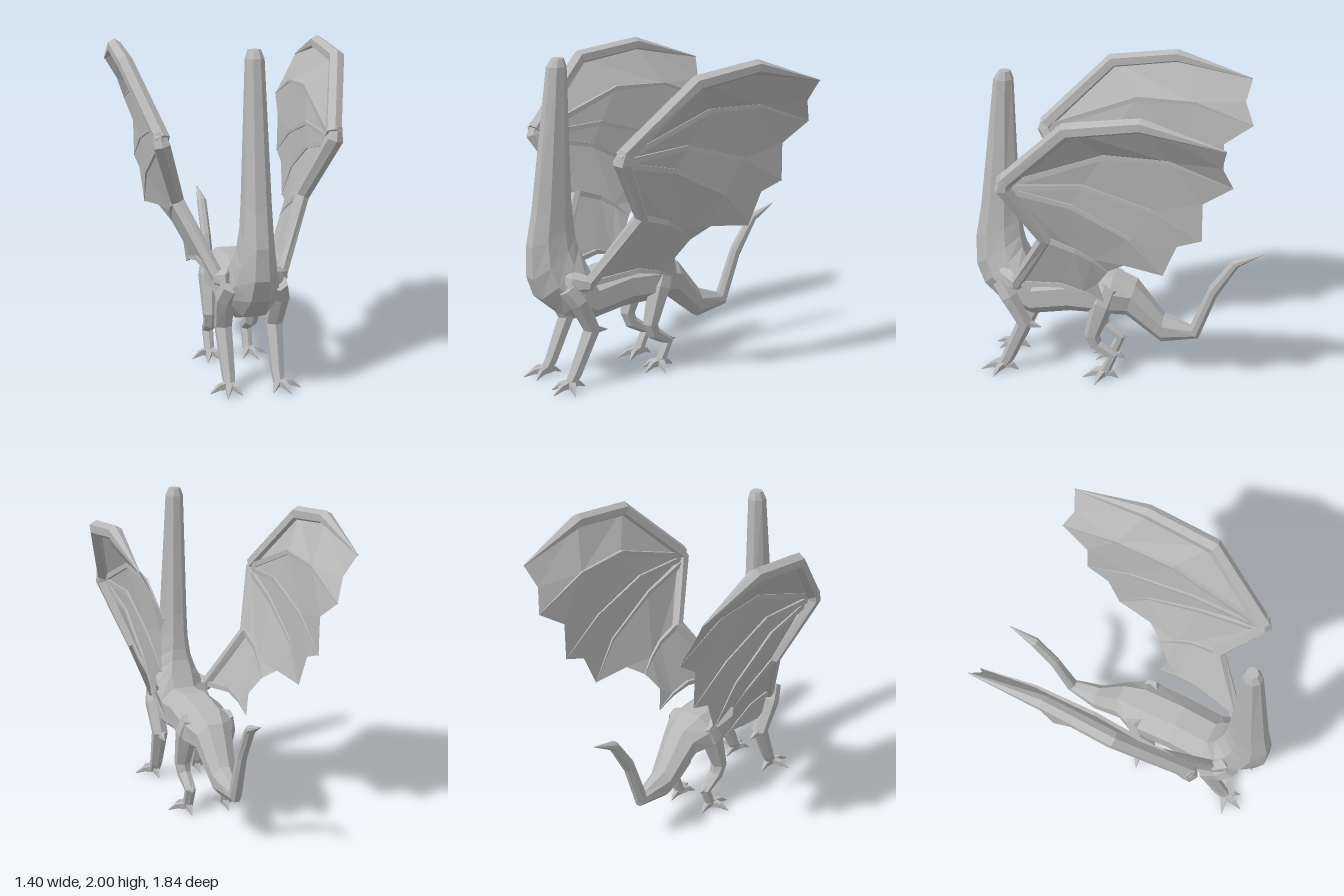
import * as THREE from 'three';

const V = (p) => new THREE.Vector3(...p);

// Skin a list of equal-sized rings and close both ends
function loft(rings) {
  const n = rings[0].length, pos = [], idx = [];
  rings.forEach((r) => r.forEach((p) => pos.push(p.x, p.y, p.z)));
  for (let k = 0; k < rings.length - 1; k++) {
    for (let i = 0; i < n; i++) {
      const a = k * n + i, b = k * n + (i + 1) % n;
      idx.push(a, b, b + n, a, b + n, a + n);
    }
  }
  const last = (rings.length - 1) * n;
  for (let i = 1; i < n - 1; i++) idx.push(0, i + 1, i, last, last + i, last + i + 1);
  return toGeometry(pos, idx);
}

function toGeometry(pos, idx) {
  const g = new THREE.BufferGeometry();
  g.setAttribute('position', new THREE.Float32BufferAttribute(pos, 3));
  g.setIndex(idx);
  const flat = g.toNonIndexed();
  flat.computeVertexNormals();
  return flat;
}

// Faceted tapering limb along a path
function limb(points, radii, sides = 6) {
  const p = points.map(V);
  const rings = p.map((c, k) => {
    const t = new THREE.Vector3();
    if (k > 0) t.add(c.clone().sub(p[k - 1]).normalize());
    if (k < p.length - 1) t.add(p[k + 1].clone().sub(c).normalize());
    t.normalize();
    const ref = Math.abs(t.x) > 0.9 ? new THREE.Vector3(0, 0, 1) : new THREE.Vector3(1, 0, 0);
    const u = ref.addScaledVector(t, -ref.dot(t)).normalize();
    const v = t.clone().cross(u);
    return Array.from({ length: sides }, (_, i) => {
      const a = ((i + 0.5) / sides) * Math.PI * 2;
      return c.clone().addScaledVector(u, radii[k] * Math.cos(a)).addScaledVector(v, radii[k] * Math.sin(a));
    });
  });
  return loft(rings);
}

// Octagonal body: each section is [backZ, backY, bellyZ, bellyY, halfWidth]
function bodyGeometry() {
  const sections = [
    [-0.915, 0.917, -0.915, 0.913, 0.003],
    [-0.725, 0.86, -0.765, 0.82, 0.03],
    [-0.58, 0.655, -0.635, 0.6, 0.03],
    [-0.47, 0.37, -0.525, 0.29, 0.037],
    [-0.3, 0.43, -0.285, 0.25, 0.075],
    [-0.12, 0.65, -0.06, 0.43, 0.115],
    [0.02, 0.7, 0.03, 0.44, 0.17],
    [0.3, 0.72, 0.3, 0.435, 0.165],
    [0.53, 0.68, 0.55, 0.39, 0.165],
    [0.58, 0.78, 0.73, 0.45, 0.165],
    [0.61, 0.85, 0.87, 0.57, 0.13],
    [0.625, 0.92, 0.92, 0.7, 0.105],
    [0.635, 1.02, 0.92, 0.89, 0.088],
    [0.645, 1.16, 0.88, 1.1, 0.08],
    [0.655, 1.95, 0.77, 1.95, 0.052],
    [0.67, 2.0, 0.74, 2.0, 0.035],
  ];
  const s = 1 / Math.cos(Math.PI / 8);
  return loft(sections.map(([z1, y1, z2, y2, w]) =>
    Array.from({ length: 8 }, (_, i) => {
      const a = ((i + 0.5) / 8) * Math.PI * 2, c = Math.cos(a) * s, d = Math.sin(a) * s;
      return new THREE.Vector3(w * c, (y1 + y2) / 2 + d * (y1 - y2) / 2, (z1 + z2) / 2 + d * (z1 - z2) / 2);
    })));
}

// Wing fingers, leading edge first: root, two bends, tip
const FINGERS = [
  [[0.51, 1.48, 0.59], [0.655, 1.89, 0.17], [0.655, 1.95, -0.255], [0.65, 1.83, -0.74]],
  [[0.5, 1.47, 0.57], [0.515, 1.695, -0.02], [0.515, 1.69, -0.39], [0.52, 1.56, -0.77]],
  [[0.5, 1.45, 0.57], [0.485, 1.485, 0.12], [0.49, 1.37, -0.285], [0.485, 1.2, -0.595]],
  [[0.49, 1.43, 0.57], [0.475, 1.35, 0.19], [0.475, 1.165, -0.17], [0.46, 0.94, -0.36]],
  [[0.38, 1.08, 0.37], [0.385, 1.02, 0.19], [0.37, 0.96, 0.09], [0.35, 0.88, -0.005]],
  [[0.2, 0.67, 0.58], [0.25, 0.71, 0.31], [0.265, 0.68, 0.17], [0.265, 0.625, 0.035]],
];
// Notch in the trailing edge between each pair of fingers
const NOTCHES = [[0.575, 1.7, -0.71], [0.49, 1.435, -0.59], [0.475, 1.145, -0.445], [0.41, 0.96, -0.115], [0.29, 0.76, 0.07]];

function membraneGeometry(mirror) {
  const pos = [], idx = [];
  const tri = (...pts) => pts.forEach((p) => {
    idx.push(pos.length / 3);
    pos.push(...mirror(p));
  });
  NOTCHES.forEach((n, k) => {
    const a = FINGERS[k], b = FINGERS[k + 1];
    for (let i = 0; i < 2; i++) {
      tri(a[i], a[i + 1], b[i + 1]);
      tri(a[i], b[i + 1], b[i]);
    }
    tri(a[2], a[3], n);
    tri(a[2], n, b[2]);
    tri(b[2], n, b[3]);
  });
  return toGeometry(pos, idx);
}

export function createModel() {
  const model = new THREE.Group();
  model.name = 'wingedBeast';
  const hide = new THREE.MeshStandardMaterial({ color: 0xb8b8b8, flatShading: true, side: THREE.DoubleSide });
  hide.name = 'greyHide';
  const add = (parent, name, geometry) => {
    const m = new THREE.Mesh(geometry, hide);
    m.name = name;
    parent.add(m);
  };

  add(model, 'bodyNeckAndTail', bodyGeometry());

  for (const side of [1, -1]) {
    const label = side > 0 ? 'left' : 'right';
    const mirror = ([x, y, z]) => [x * side, y, z];
    const part = (parent, name, pts, radii, sides) => add(parent, name, limb(pts.map(mirror), radii, sides));
    const group = (name) => {
      const g = new THREE.Group();
      g.name = label + name;
      model.add(g);
      return g;
    };

    // Wing: arm, fingers and membrane
    const wing = group('Wing');
    part(wing, 'wingShoulder', [[0.04, 0.68, 0.7], [0.14, 0.66, 0.68], [0.2, 0.66, 0.61]], [0.1, 0.07, 0.04]);
    part(wing, 'wingArm', [[0.18, 0.64, 0.63], [0.385, 1.08, 0.375], [0.515, 1.45, 0.59], [0.53, 1.52, 0.57]],
      [0.04, 0.045, 0.055, 0.04]);
    FINGERS.forEach((f, k) =>
      part(wing, 'wingFinger', f, k === 0 ? [0.05, 0.05, 0.045, 0.004] : [0.025, 0.02, 0.014, 0.003], k === 0 ? 6 : 4));
    add(wing, 'wingMembrane', membraneGeometry(mirror));

    // Legs
    const fore = group('Foreleg');
    part(fore, 'foreLimb', [[0.14, 0.64, 0.74], [0.165, 0.55, 0.68], [0.155, 0.36, 0.585], [0.15, 0.1, 0.7], [0.15, 0.035, 0.74]],
      [0.06, 0.062, 0.055, 0.042, 0.035]);
    part(fore, 'elbowSpur', [[0.155, 0.36, 0.57], [0.155, 0.34, 0.475]], [0.035, 0.003], 4);
    const hind = group('HindLeg');
    part(hind, 'hindLimb', [[0.11, 0.65, 0.03], [0.125, 0.54, 0.075], [0.135, 0.31, 0.145], [0.13, 0.24, 0.12],
      [0.125, 0.17, 0.01], [0.125, 0.04, 0.065]], [0.06, 0.075, 0.052, 0.045, 0.038, 0.033]);
    part(hind, 'hockSpur', [[0.125, 0.18, 0.02], [0.125, 0.175, -0.05]], [0.03, 0.003], 4);

    // Clawed feet: three toes forward and outward, one behind
    const foot = (parent, x, z, s) => {
      const toes = [[-0.055, 0.1], [0.04, 0.14], [0.125, 0.04], [0, -0.1]];
      for (const [dx, dz] of toes) {
        part(parent, 'toe', [[x, 0.04, z], [x + dx * s * 0.55, 0.035, z + dz * s * 0.55], [x + dx * s, 0.004, z + dz * s]],
          [0.033, 0.022, 0.003], 4);
      }
    };
    foot(fore, 0.15, 0.735, 1);
    foot(hind, 0.125, 0.07, 0.95);
  }
  return model;
}
